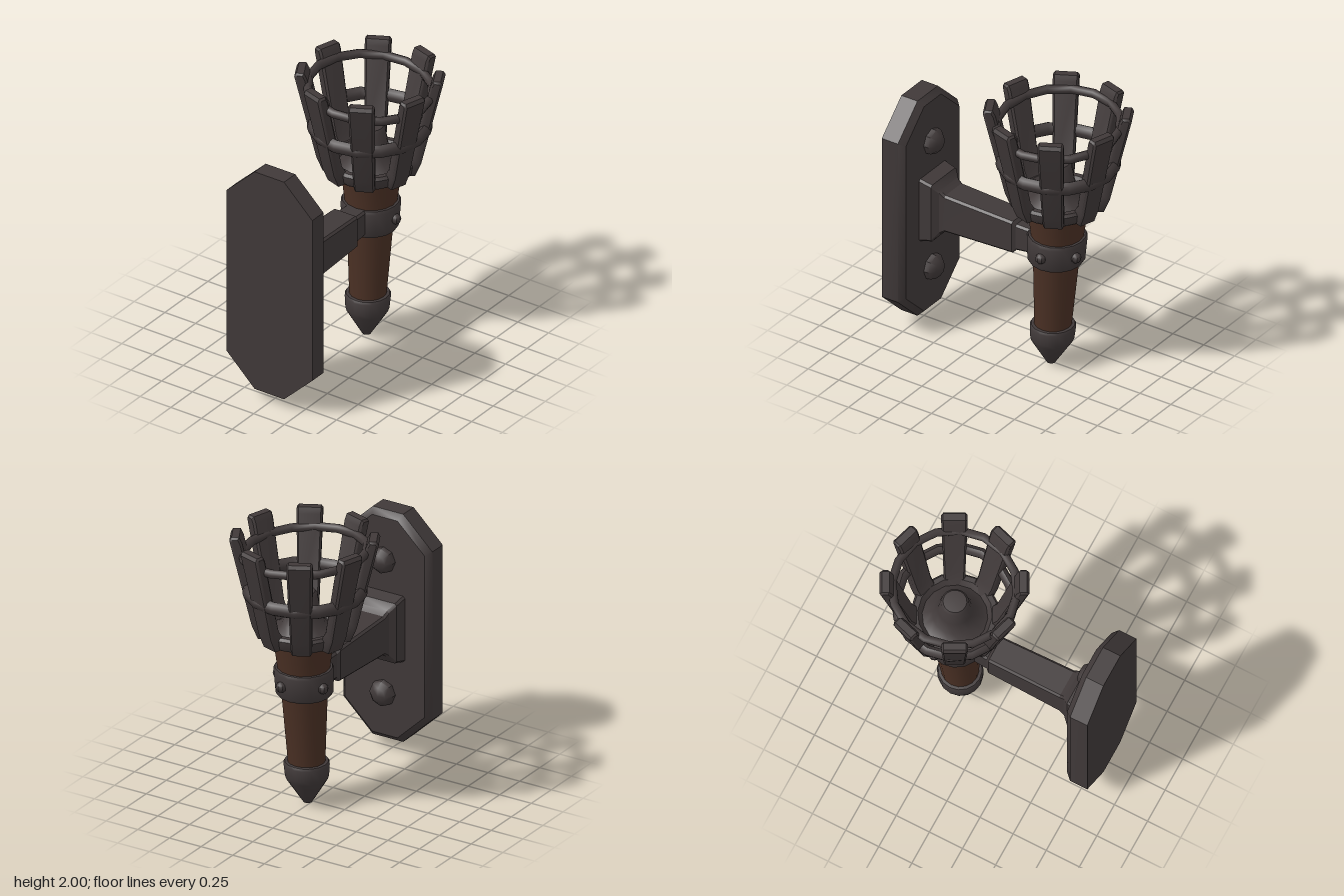
import * as THREE from 'three';
import { toCreasedNormals } from 'three/addons/utils/BufferGeometryUtils.js';

const Z = 0.015; // depth of the torch axis

export function createModel() {
  const root = new THREE.Group();
  root.name = 'wallTorch';
  const iron = new THREE.MeshStandardMaterial({ color: 0x403939 });
  iron.name = 'dark iron';
  const wood = new THREE.MeshStandardMaterial({ color: 0x4a3024 });
  wood.name = 'brown wood';

  function add(name, geometry, material = iron, parent = root, crease = 0.75) {
    const mesh = new THREE.Mesh(toCreasedNormals(geometry, crease), material);
    mesh.name = name;
    parent.add(mesh);
    return mesh;
  }

  // Loft along x through chamfered rectangles: [x, centreY, halfZ, halfY, chamferZ, chamferY]
  function loft(sections) {
    const pos = [], idx = [];
    for (const [x, y, hz, hy, cz, cy] of sections) {
      const ring = [
        [hy, hz - cz], [hy - cy, hz], [cy - hy, hz], [-hy, hz - cz],
        [-hy, cz - hz], [cy - hy, -hz], [hy - cy, -hz], [hy, cz - hz],
      ];
      for (const [dy, dz] of ring) pos.push(x, y + dy, Z + dz);
    }
    const last = (sections.length - 1) * 8;
    for (let i = 0; i < last; i += 8) {
      for (let j = 0; j < 8; j++) {
        const a = i + j, b = i + (j + 1) % 8;
        idx.push(a, b, a + 8, b, b + 8, a + 8);
      }
    }
    for (let j = 1; j < 7; j++) {
      idx.push(0, j + 1, j, last, last + j, last + j + 1);
    }
    const g = new THREE.BufferGeometry();
    g.setAttribute('position', new THREE.Float32BufferAttribute(pos, 3));
    g.setIndex(idx);
    return g;
  }

  // Turned part whose axis leans slightly toward +x as it rises
  function turned(profile, sides = 16) {
    const g = new THREE.LatheGeometry(profile.map(([r, y]) => new THREE.Vector2(r, y)), sides);
    const p = g.attributes.position;
    for (let i = 0; i < p.count; i++) {
      const y = p.getY(i);
      p.setXYZ(i, p.getX(i) + 0.29 + 0.05 * Math.min(y, 1.1), y, p.getZ(i) + Z);
    }
    return g;
  }

  // Wall plate with cut corners and a bevelled front edge
  add('wallPlate', loft([
    [-0.84, 0.92, 0.35, 0.84, 0.23, 0.22],
    [-0.71, 0.92, 0.35, 0.84, 0.23, 0.22],
    [-0.67, 0.92, 0.315, 0.80, 0.215, 0.205],
  ]));

  // Domed bolts on the plate
  for (const y of [0.43, 1.41]) {
    const dome = [[0.095, 0], [0.09, 0.04], [0.055, 0.075], [0, 0.085]]
      .map(([r, h]) => new THREE.Vector2(r, h));
    const bolt = add('plateBolt', new THREE.LatheGeometry(dome, 8));
    bolt.rotation.z = -Math.PI / 2;
    bolt.position.set(-0.675, y, Z + 0.01);
  }

  // Bracket arm: flared foot, tapering beam, narrow neck
  add('bracketArm', loft([
    [-0.68, 0.935, 0.16, 0.245, 0.015, 0.015],
    [-0.58, 0.935, 0.15, 0.22, 0.015, 0.015],
    [-0.54, 0.94, 0.115, 0.17, 0.015, 0.015],
    [-0.50, 0.94, 0.108, 0.142, 0.015, 0.015],
    [0.04, 0.94, 0.1, 0.122, 0.015, 0.015],
    [0.06, 0.94, 0.085, 0.1, 0.015, 0.015],
    [0.2, 0.945, 0.08, 0.09, 0.015, 0.015],
  ]), iron, root, 0.5);

  // Torch shaft, pointed end cap and collar
  add('shaft', turned([[0.125, 0.28], [0.157, 0.83], [0.18, 1.04], [0.203, 1.22]]), wood);
  add('endCap', turned([
    [0, 0], [0.03, 0.012], [0.14, 0.19], [0.15, 0.22], [0.157, 0.305], [0.148, 0.322], [0.12, 0.325],
  ]));
  add('collar', turned([
    [0.15, 0.83], [0.185, 0.832], [0.197, 0.855], [0.205, 1.01], [0.195, 1.032], [0.17, 1.035],
  ]));
  for (const deg of [17, 89, -72]) {
    const a = THREE.MathUtils.degToRad(deg);
    const rivet = add('collarRivet', new THREE.SphereGeometry(0.038, 8, 6));
    rivet.position.set(0.34 + 0.2 * Math.cos(a), 0.935, Z + 0.2 * Math.sin(a));
  }

  // Basket floor with its outer band and central spike
  add('basketFloor', turned([
    [0.17, 1.2], [0.2, 1.21], [0.21, 1.245], [0.27, 1.25], [0.29, 1.27], [0.3, 1.33], [0.285, 1.35],
    [0.25, 1.35], [0.22, 1.31], [0.15, 1.36], [0.115, 1.45], [0.095, 1.57], [0.08, 1.59], [0, 1.595],
  ]));

  // Basket: eight flaring slats, wider toward the top
  const basket = new THREE.Group();
  basket.name = 'basket';
  basket.position.set(0.343, 0, 0.005);
  root.add(basket);

  const outline = new THREE.Shape([
    [0.24, 1.25], [0.31, 1.25], [0.352, 1.35], [0.5, 1.975], [0.485, 2.0],
    [0.435, 2.0], [0.415, 1.96], [0.285, 1.4], [0.22, 1.3],
  ].map(([r, y]) => new THREE.Vector2(r, y)));
  const bevel = 0.014;
  for (let i = 0; i < 8; i++) {
    const g = new THREE.ExtrudeGeometry(outline, {
      depth: 0.15, bevelEnabled: true, bevelSegments: 1,
      bevelSize: bevel, bevelThickness: bevel, bevelOffset: -bevel,
    });
    g.translate(0, 0, -0.075);
    const p = g.attributes.position;
    for (let k = 0; k < p.count; k++) {
      p.setZ(k, p.getZ(k) * THREE.MathUtils.mapLinear(p.getY(k), 1.25, 2, 0.78, 1));
    }
    const slat = add('basketSlat', g, iron, basket);
    slat.rotation.y = -THREE.MathUtils.degToRad(17 + 45 * i);
  }

  // Basket hoops
  function hoop(name, radius, tube, height, y, tilt) {
    const g = new THREE.TorusGeometry(radius, tube, 8, 16);
    g.rotateX(Math.PI / 2);
    g.scale(1, height / (2 * tube), 1);
    const mesh = add(name, g, iron, basket, 1);
    mesh.position.y = y;
    mesh.rotation.x = tilt;
  }
  hoop('middleHoop', 0.39, 0.036, 0.1, 1.61, 0);
  hoop('upperHoop', 0.42, 0.03, 0.065, 1.88, 0.07);

  return root;
}
